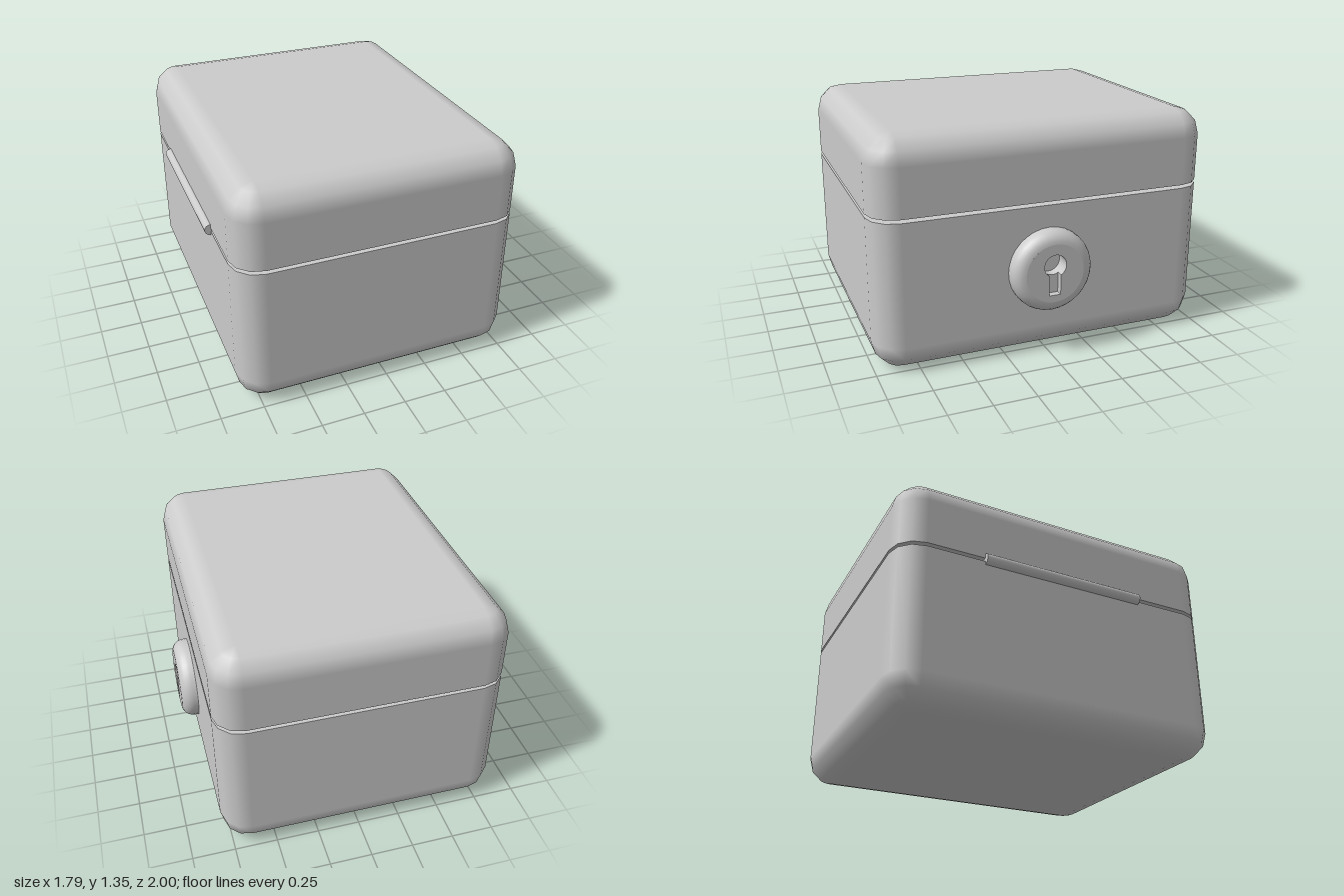
import * as THREE from 'three';

const material = new THREE.MeshStandardMaterial({ color: 0xcccccc });
const CENTER_X = -0.0325, HALF_X = 0.8325, HALF_Z = 1, ROUND = 0.16, STEPS = 3;

function add(parent, name, geometry) {
  const mesh = new THREE.Mesh(geometry, material);
  mesh.name = name;
  parent.add(mesh);
  return mesh;
}

// Half of a rounded box: flat at the rim, rounded towards the end (dir +1 = up, -1 = down)
function roundedHalf(rimY, endY, dir) {
  const positions = [], normals = [], index = [];
  const count = 4 * (STEPS + 1);
  const ring = (y, phi, normalY) => {
    for (let c = 0; c < 4; c++) {
      const sx = c === 0 || c === 3 ? 1 : -1, sz = c < 2 ? 1 : -1;
      for (let s = 0; s <= STEPS; s++) {
        const a = (c + s / STEPS) * Math.PI / 2;
        const nx = Math.cos(a) * Math.cos(phi), nz = Math.sin(a) * Math.cos(phi);
        positions.push(sx * (HALF_X - ROUND) + ROUND * nx, y, sz * (HALF_Z - ROUND) + ROUND * nz);
        if (normalY === undefined) normals.push(nx, dir * Math.sin(phi), nz);
        else normals.push(0, normalY, 0);
      }
    }
  };
  const tri = (a, b, c) => (dir > 0 ? index.push(a, b, c) : index.push(a, c, b));

  // Wall, then the rounded edge
  ring(rimY, 0);
  for (let i = 0; i <= STEPS; i++) {
    const phi = (i / STEPS) * Math.PI / 2;
    ring(endY - dir * ROUND * (1 - Math.sin(phi)), phi);
  }
  for (let i = 0; i <= STEPS; i++) {
    for (let j = 0; j < count; j++) {
      const k = (j + 1) % count, a = i * count, b = a + count;
      tri(a + j, b + j, a + k);
      tri(a + k, b + j, b + k);
    }
  }
  // Flat end and flat rim
  const end = (STEPS + 1) * count, rim = end + count;
  ring(rimY, 0, -dir);
  for (let j = 1; j < count - 1; j++) {
    tri(end, end + j + 1, end + j);
    tri(rim, rim + j, rim + j + 1);
  }

  const geometry = new THREE.BufferGeometry();
  geometry.setAttribute('position', new THREE.Float32BufferAttribute(positions, 3));
  geometry.setAttribute('normal', new THREE.Float32BufferAttribute(normals, 3));
  geometry.setIndex(index);
  return geometry.translate(CENTER_X, 0, 0);
}

// Disc with a hole, extruded along +x from x = 0
function piercedDisc(radius, hole, depth) {
  const shape = new THREE.Shape().absarc(0, 0, radius, 0, Math.PI * 2, false);
  shape.holes.push(hole);
  return new THREE.ExtrudeGeometry(shape, { depth, bevelEnabled: false, curveSegments: 32 })
    .rotateY(Math.PI / 2);
}

function createLock() {
  const lock = new THREE.Group();
  lock.name = 'lock';
  const height = 0.095, edge = 0.07, radius = 0.243, inner = radius - edge;
  const holeY = 0.045, holeR = 0.066, slotHalf = 0.034, slotBottom = -0.13;

  // Rounded outer ring
  const profile = [new THREE.Vector2(radius, 0)];
  for (let i = 0; i <= 6; i++) {
    const a = (i / 6) * Math.PI / 2;
    profile.push(new THREE.Vector2(inner + edge * Math.cos(a), height - edge + edge * Math.sin(a)));
  }
  add(lock, 'lockRing', new THREE.LatheGeometry(profile, 32).rotateZ(-Math.PI / 2));

  // Face plate with the keyhole outline
  const a = Math.asin(slotHalf / holeR);
  const keyhole = new THREE.Path();
  keyhole.moveTo(-slotHalf, slotBottom);
  keyhole.lineTo(slotHalf, slotBottom);
  keyhole.absarc(0, holeY, holeR, -Math.PI / 2 + a, Math.PI * 1.5 - a, false);
  keyhole.closePath();
  add(lock, 'lockFace', piercedDisc(inner, keyhole, 0.04)).position.x = height - 0.04;

  // Back plate: floor of the slot, with the deeper round hole
  const round = new THREE.Path().absarc(0, holeY, holeR, 0, Math.PI * 2, false);
  add(lock, 'lockBack', piercedDisc(inner, round, height - 0.04));

  lock.position.set(0.8, 0.517, 0);
  return lock;
}

export function createModel() {
  const model = new THREE.Group();
  model.name = 'lockBox';
  add(model, 'body', roundedHalf(0.89, 0, -1));
  add(model, 'lid', roundedHalf(0.91, 1.35, 1));

  // Hinge pin set into the gap between body and lid
  const hinge = add(model, 'hinge', new THREE.CylinderGeometry(0.033, 0.033, 1, 24));
  hinge.rotation.x = Math.PI / 2;
  hinge.position.set(-0.867, 0.902, 0);

  model.add(createLock());
  return model;
}
